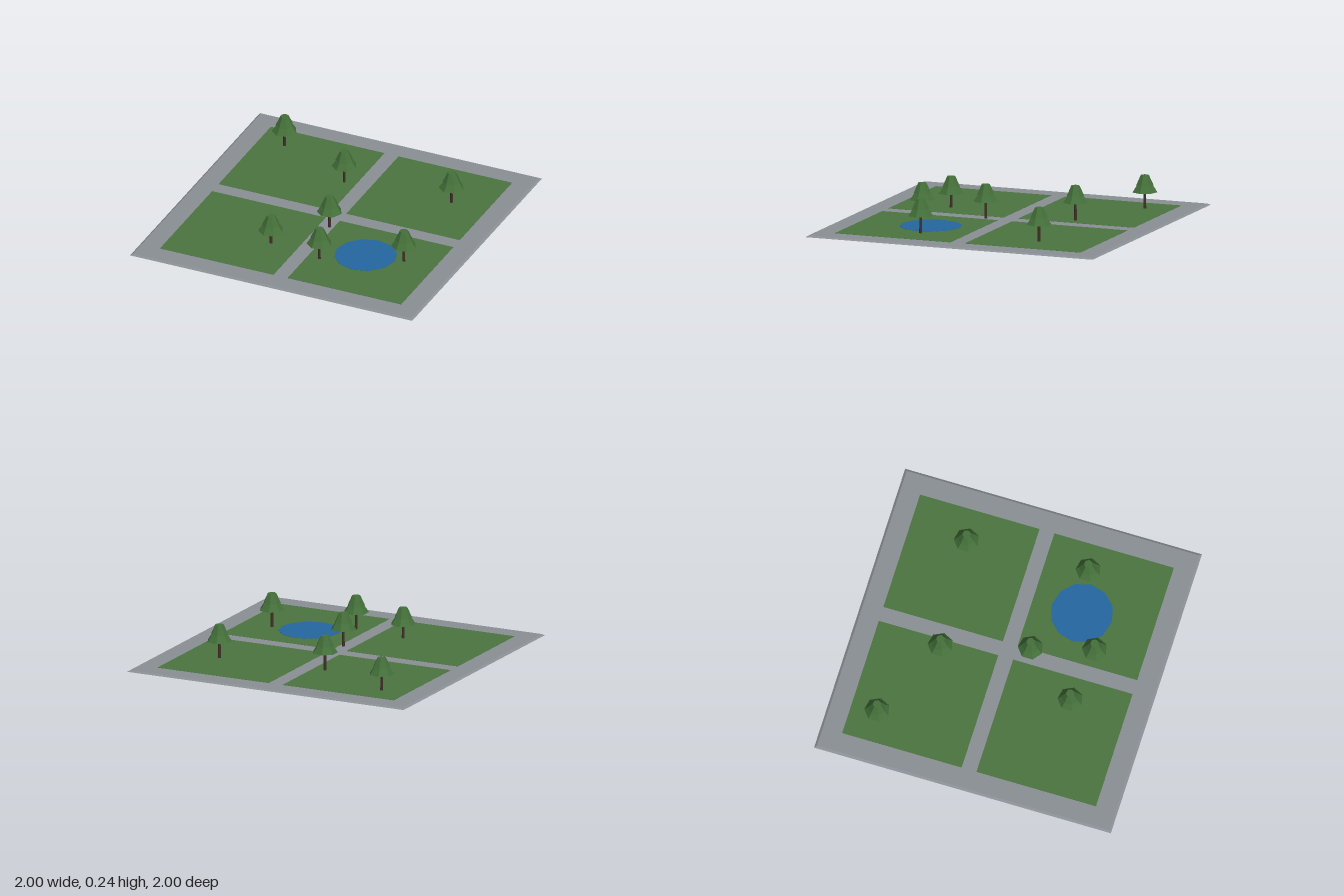
import * as THREE from 'three';

const material = (color) => new THREE.MeshStandardMaterial({ color, flatShading: true });
const PAVING = material(0x8a8f95);
const GRASS = material(0x4c7540);
const WATER = material(0x2466a0);
const BARK = material(0x3f3026);
const LEAF = material(0x44703a);

const SLAB_TOP = 0.01;

function addMesh(parent, name, geometry, mat, x = 0, y = 0, z = 0) {
  const mesh = new THREE.Mesh(geometry, mat);
  mesh.name = name;
  mesh.position.set(x, y, z);
  parent.add(mesh);
  return mesh;
}

// Seven-sided tapered ring standing on y = bottom, one corner towards +x
function taper(rTop, rBottom, bottom, top) {
  return new THREE.CylinderGeometry(rTop, rBottom, top - bottom, 7)
    .rotateY(Math.PI / 2)
    .translate(0, (bottom + top) / 2, 0);
}

// Tree of a trunk and two overlapping leafy tiers; lift raises the crown
function createTree(x, z, lift) {
  const tree = new THREE.Group();
  tree.name = 'tree';
  tree.position.set(x, 0, z);
  addMesh(tree, 'trunk', taper(0.008, 0.01, SLAB_TOP - 0.004, 0.15 + lift), BARK);
  addMesh(tree, 'lowerFoliage', taper(0.037, 0.083, 0.12 + lift, 0.19 + lift), LEAF);
  addMesh(tree, 'upperFoliage', taper(0.028, 0.058, 0.165 + lift, 0.23 + lift), LEAF);
  return tree;
}

export function createModel() {
  const park = new THREE.Group();
  park.name = 'park';

  // Paved slab with a slightly sloped rim
  const slab = new THREE.CylinderGeometry(0.985 * Math.SQRT2, Math.SQRT2, SLAB_TOP, 4).rotateY(Math.PI / 4);
  addMesh(park, 'pavedSlab', slab, PAVING, 0, SLAB_TOP / 2, 0);

  // Four lawns separated by crossing paths
  for (const sx of [-1, 1]) {
    for (const sz of [-1, 1]) {
      addMesh(park, 'lawn', new THREE.BoxGeometry(0.805, 0.002, 0.805), GRASS,
        sx * 0.4525, SLAB_TOP, sz * 0.4525);
    }
  }

  // Pond
  addMesh(park, 'pond', new THREE.CylinderGeometry(0.203, 0.203, 0.003, 12), WATER, 0.385, SLAB_TOP + 0.001, 0.38);

  // Trees: x, z, crown lift
  const trees = [
    [-0.675, -0.675, 0],
    [-0.132, -0.415, 0.01],
    [0.606, -0.465, 0.003],
    [0.022, 0.146, 0.005],
    [0.64, 0.345, 0.006],
    [0.132, 0.543, 0.005],
    [-0.234, 0.492, -0.015],
  ];
  for (const [x, z, lift] of trees) park.add(createTree(x, z, lift));

  return park;
}
